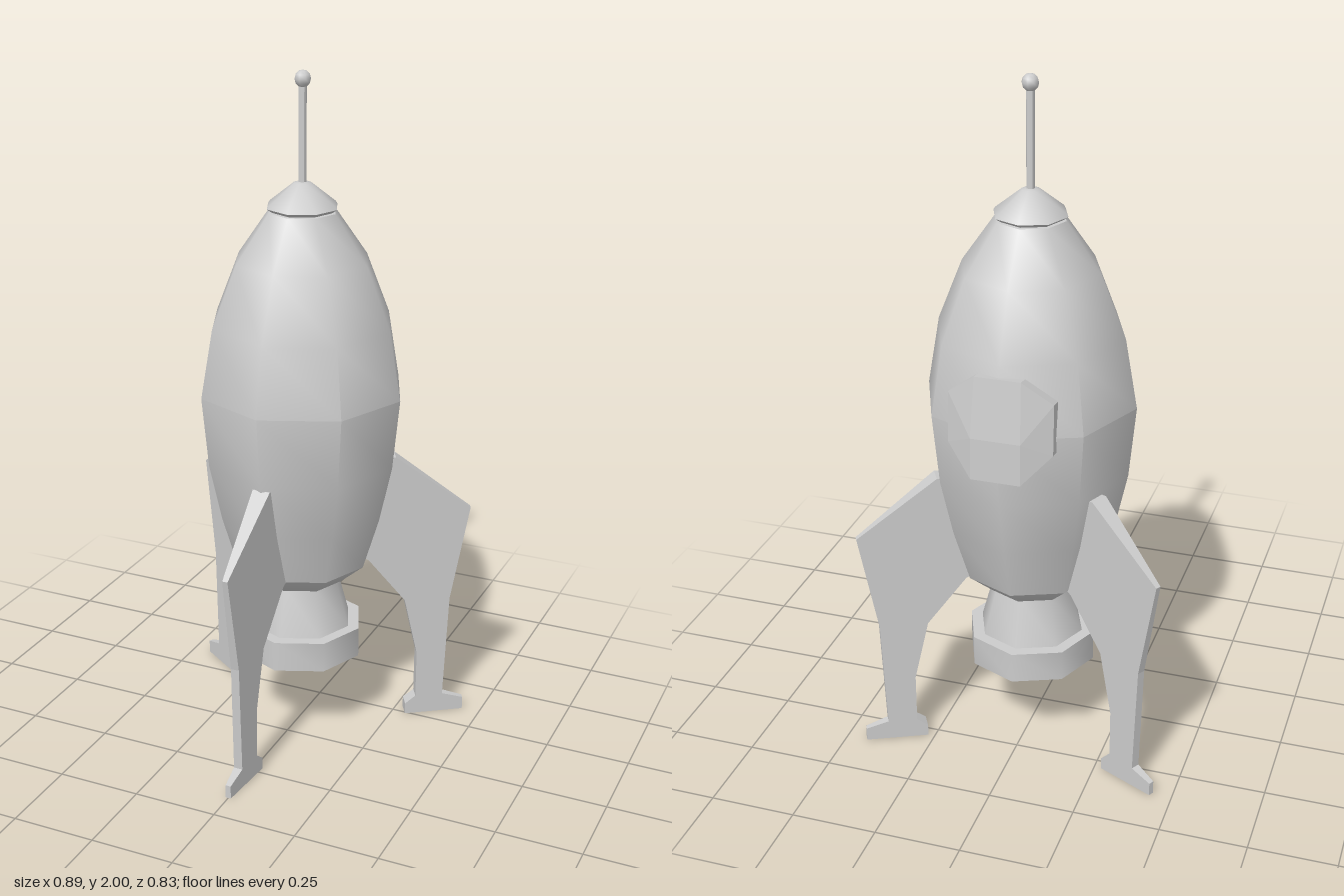
import * as THREE from 'three';
import { toCreasedNormals } from 'three/addons/utils/BufferGeometryUtils.js';
import { ConvexGeometry } from 'three/addons/geometries/ConvexGeometry.js';

const AXIS_Z = -0.1; // the rocket's vertical axis
const smooth = new THREE.MeshStandardMaterial({ color: 0xcccccc });
const faceted = new THREE.MeshStandardMaterial({ color: 0xcccccc, flatShading: true });

// Eight-sided turned part from [radius, height] pairs, listed bottom to top
function turned(name, profile, crease = 0.82) {
  const points = profile.map(([r, y]) => new THREE.Vector2(r, y));
  const geometry = toCreasedNormals(new THREE.LatheGeometry(points, 8), crease);
  const mesh = new THREE.Mesh(geometry, smooth);
  mesh.name = name;
  return mesh;
}

// Fin with leg and foot; the thickness tapers from the hull to the outer tip
function createFin(angle) {
  const outline = [
    [0.2, 0.54], [0.315, 0.395], [0.357, 0.21], [0.357, 0.06], [0.325, 0.035], [0.325, 0],
    [0.508, 0], [0.508, 0.04], [0.442, 0.06], [0.455, 0.39], [0.51, 0.69], [0.277, 0.868],
    [0.22, 0.86], [0.16, 0.56],
  ];
  const shape = new THREE.Shape(outline.map(([r, y]) => new THREE.Vector2(r, y)));
  const geometry = new THREE.ExtrudeGeometry(shape, { depth: 2, bevelEnabled: false });
  geometry.translate(0, 0, -1);
  const p = geometry.attributes.position;
  for (let i = 0; i < p.count; i++) {
    const half = THREE.MathUtils.mapLinear(p.getX(i), 0.27, 0.51, 0.027, 0.008);
    p.setZ(i, p.getZ(i) * half);
  }
  geometry.computeVertexNormals();
  const fin = new THREE.Mesh(geometry, faceted);
  fin.name = 'fin';
  fin.rotation.y = angle - Math.PI / 2;
  return fin;
}

// Octagonal hatch, bent to follow the back of the hull
function createHatch() {
  const points = [];
  const half = [
    [0.065, 1.26, -0.388], [0.148, 1.195, -0.362], [0.148, 1.05, -0.37],
    [0.07, 0.97, -0.416], [0.07, 1.09, -0.413],
  ];
  for (const [x, y, z] of half) {
    for (const side of [-1, 1]) {
      points.push(new THREE.Vector3(side * x, y, z - AXIS_Z));
      points.push(new THREE.Vector3(side * x, y - 0.005, z - AXIS_Z + 0.036));
    }
  }
  const hatch = new THREE.Mesh(new ConvexGeometry(points), faceted);
  hatch.name = 'hatch';
  return hatch;
}

export function createModel() {
  const model = new THREE.Group();
  model.name = 'rocket';
  const rocket = new THREE.Group();
  rocket.name = 'rocketParts';
  rocket.position.z = AXIS_Z;
  model.add(rocket);

  // Hull and its chamfered underside
  rocket.add(turned('hull', [
    [0.2, 0.55], [0.248, 0.71], [0.285, 0.88], [0.305, 1.09],
    [0.27, 1.29], [0.198, 1.47], [0.1, 1.61], [0, 1.62],
  ]));
  rocket.add(turned('hullBase', [[0, 0.49], [0.13, 0.49], [0.2, 0.55]]));

  // Engine nozzle and its rim
  rocket.add(turned('nozzle', [[0.155, 0.345], [0.115, 0.49]]));
  rocket.add(turned('nozzleRim', [[0, 0.253], [0.19, 0.253], [0.19, 0.345], [0.15, 0.345]]));

  // Nose cap with antenna
  rocket.add(turned('noseCap', [
    [0, 1.608], [0.085, 1.608], [0.105, 1.622], [0.1, 1.63], [0.025, 1.69], [0, 1.695],
  ], 0.8));
  rocket.add(turned('antenna', [[0.012, 1.68], [0.012, 1.97]]));
  const tip = new THREE.Mesh(new THREE.SphereGeometry(0.024, 8, 6), smooth);
  tip.name = 'antennaTip';
  tip.position.y = 1.976;
  rocket.add(tip);

  rocket.add(createHatch());

  // Three fins, one at the front and two towards the back
  for (let i = 0; i < 3; i++) rocket.add(createFin((i * Math.PI * 2) / 3));

  return model;
}
